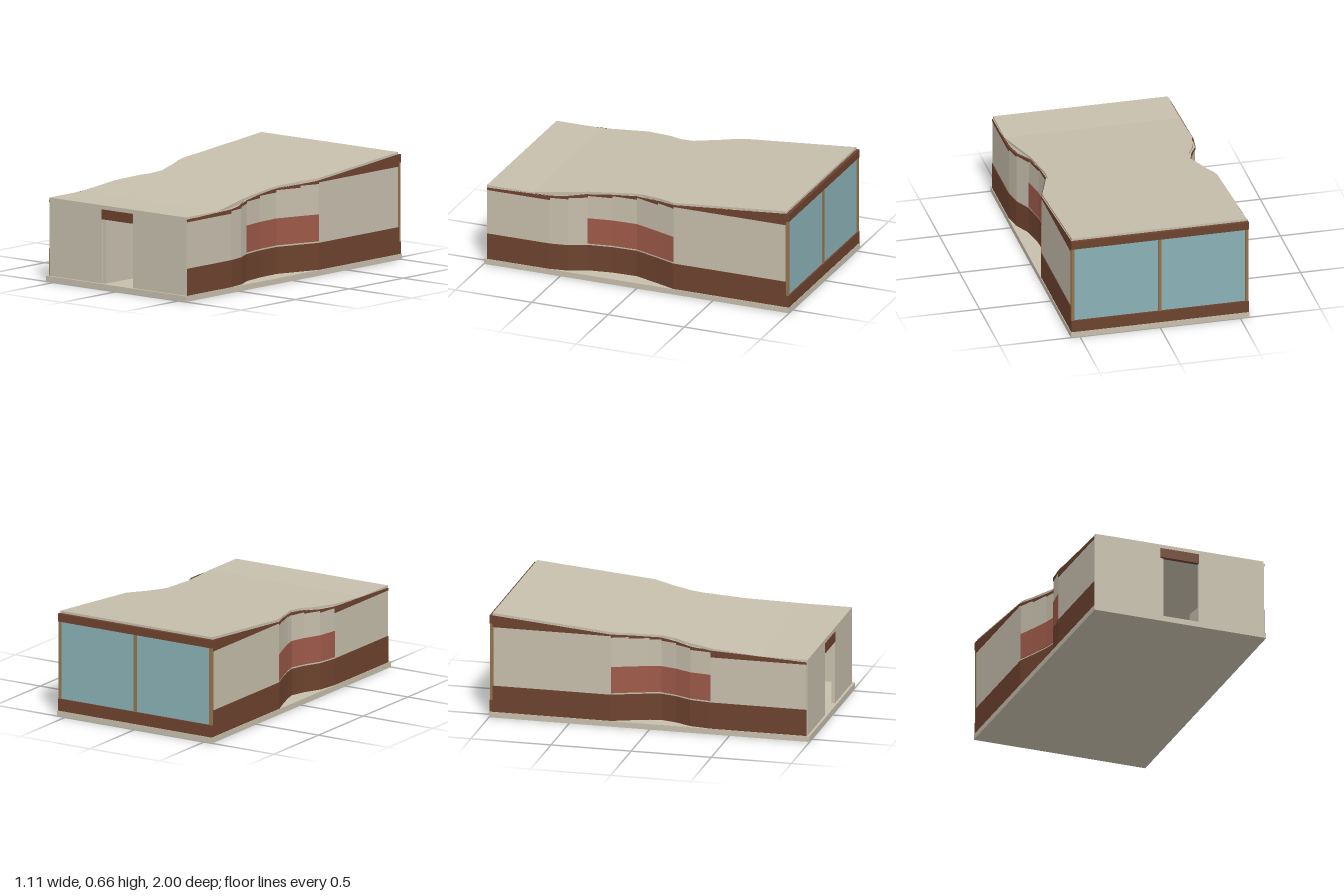
import * as THREE from 'three';

const mat = (name, color) => {
  const m = new THREE.MeshStandardMaterial({ color });
  m.name = name;
  return m;
};

// Height of the roof's upper surface: flat at the front, then rising to the back
const roofTop = z => 0.515 + Math.max(0, 0.69 - z) * 0.0868;
const ROOF = 0.014;

// Plan outlines as [distance from centre, z], running front to back
const wallPlan = {
  left: [[0.549, 0.98], [0.549, 0.57], [0.53, 0.455], [0.48, 0.35], [0.455, 0.2], [0.45, 0.04],
    [0.505, -0.12], [0.549, -0.24], [0.549, -0.98]],
  right: [[0.549, 0.98], [0.549, 0.38], [0.53, 0.25], [0.48, 0.15], [0.452, 0.05],
    [0.468, -0.02], [0.51, -0.14], [0.549, -0.24], [0.549, -0.98]],
};
const roofPlan = {
  left: [[0.545, 0.985], [0.545, 0.69], [0.47, 0.35], [0.445, 0.08], [0.45, 0.01], [0.49, -0.12],
    [0.545, -0.24], [0.545, -0.98]],
  right: [[0.545, 0.985], [0.545, 0.38], [0.5, 0.21], [0.465, 0.14], [0.452, 0.05],
    [0.51, -0.14], [0.535, -0.2], [0.545, -0.25], [0.545, -0.98]],
};

// Distance from centre on a plan outline at a given z
function planX(plan, z) {
  for (let i = 1; i < plan.length; i++) {
    const [x0, z0] = plan[i - 1], [x1, z1] = plan[i];
    if (z >= z1) return x0 + (x1 - x0) * (z0 - z) / (z0 - z1);
  }
  return plan[plan.length - 1][0];
}

// Solid through four-cornered sections {z, lo, hi, y0, y1}, ordered front to back
function loft(sections) {
  const rings = sections.map(s => [
    [s.hi, s.y0, s.z], [s.hi, s.y1, s.z], [s.lo, s.y1, s.z], [s.lo, s.y0, s.z]]);
  const pos = [];
  const quad = (a, b, c, d) => pos.push(...a, ...b, ...c, ...a, ...c, ...d);
  for (let i = 1; i < rings.length; i++) {
    const p = rings[i - 1], q = rings[i];
    for (let k = 0; k < 4; k++) quad(p[k], q[k], q[(k + 1) % 4], p[(k + 1) % 4]);
  }
  const f = rings[0], b = rings[rings.length - 1];
  quad(f[0], f[1], f[2], f[3]);
  quad(b[3], b[2], b[1], b[0]);
  const g = new THREE.BufferGeometry();
  g.setAttribute('position', new THREE.Float32BufferAttribute(pos, 3));
  g.computeVertexNormals();
  return g;
}

export function createModel() {
  const model = new THREE.Group();
  model.name = 'house';
  const plaster = mat('plaster', 0xc6beac);
  const brown = mat('brown cladding', 0x6d422e);
  const red = mat('red panel', 0x9d5949);
  const glass = mat('glass', 0x8ab0b5);
  const tan = mat('tan frame', 0x92734c);

  const add = (name, geometry, material, parent = model) => {
    const mesh = new THREE.Mesh(geometry, material);
    mesh.name = name;
    parent.add(mesh);
    return mesh;
  };
  // Box given by its limits on each axis
  const box = (name, material, x0, x1, y0, y1, z0, z1) => {
    const mesh = add(name, new THREE.BoxGeometry(x1 - x0, y1 - y0, z1 - z0), material);
    mesh.position.set((x0 + x1) / 2, (y0 + y1) / 2, (z0 + z1) / 2);
  };

  // Floor slab
  box('floorSlab', plaster, -0.557, 0.557, 0, 0.035, -1, 1);

  // Curved side walls with base cladding, red panel and stepped roof trim
  for (const [side, sign] of [['left', 1], ['right', -1]]) {
    const plan = wallPlan[side];
    const group = new THREE.Group();
    group.name = side + 'Wall';
    model.add(group);
    const strip = (name, material, pts, out, thick, y0, y1) => add(name, loft(pts.map(([x, z]) => {
      const a = sign * (x + out), b = sign * (x + out - thick);
      return { z, lo: Math.min(a, b), hi: Math.max(a, b), y0, y1: typeof y1 === 'number' ? y1 : y1(z) };
    })), material, group);
    const underRoof = z => roofTop(z) - ROOF;

    strip('wallPanel', plaster, plan, 0, 0.012, 0.035, underRoof);
    strip('baseCladding', brown, plan, 0.004, 0.008, 0.035, 0.2);
    const end = side === 'left' ? 0.36 : 0.39;
    strip('redPanel', red, plan.filter(p => p[1] < end && p[1] > -0.3), 0.004, 0.008, 0.21, 0.375);
    for (let i = 1; i < plan.length; i++) {
      const zm = (plan[i - 1][1] + plan[i][1]) / 2;
      const low = i === plan.length - 1 ? 0.572 : roofTop(zm) - 0.029;
      strip('roofTrim', brown, [plan[i - 1], plan[i]], 0.004, 0.014, low, underRoof);
    }
  }

  // Sloping roof, pinched in at both sides
  const zs = [...new Set([...roofPlan.left, ...roofPlan.right].map(p => p[1]))].sort((a, b) => b - a);
  add('roof', loft(zs.map(z => ({
    z, lo: -planX(roofPlan.right, z), hi: planX(roofPlan.left, z),
    y0: roofTop(z) - ROOF, y1: roofTop(z),
  }))), plaster);

  // Front wall with doorway, and the short partition inside it
  for (const s of [-1, 1]) {
    box('frontWall', plaster, s < 0 ? -0.545 : 0.123, s < 0 ? -0.123 : 0.545, 0.035, 0.501, 0.965, 0.985);
  }
  box('doorLintel', plaster, -0.123, 0.123, 0.49, 0.501, 0.965, 0.985);
  box('doorHeader', brown, -0.123, 0.123, 0.43, 0.49, 0.965, 0.99);
  box('entryPartition', plaster, -0.123, -0.102, 0.035, 0.43, 0.6, 0.975);

  // Glazed back wall
  box('backSill', brown, -0.553, 0.553, 0.035, 0.11, -0.998, -0.975);
  box('backBeam', brown, -0.553, 0.553, 0.595, 0.645, -0.998, -0.975);
  box('backWindow', glass, -0.54, 0.54, 0.11, 0.595, -0.988, -0.982);
  for (const x of [-0.542, 0, 0.542]) {
    box('windowPost', tan, x - 0.01, x + 0.01, 0.11, 0.595, -0.994, -0.975);
  }
  return model;
}
